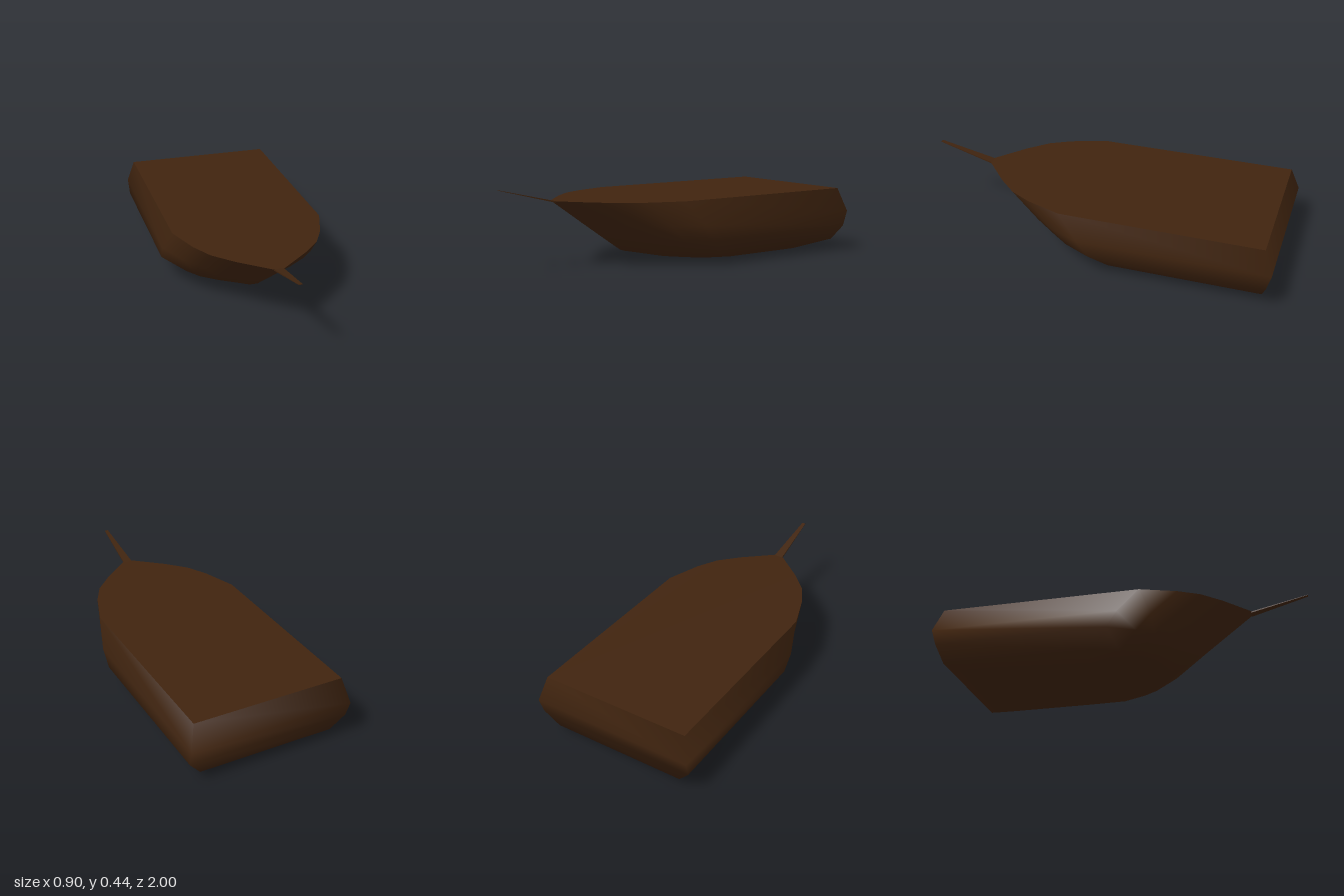
import * as THREE from 'three';

const wood = new THREE.MeshStandardMaterial({ color: 0x40240f });
wood.name = 'dark brown wood';

// Horizontal hull levels, keel to rail: height, half width, stern z, start of bow curve, bow tip z
const LEVELS = [
  [0, 0.24, -0.77, -0.3, 0.0],
  [0.058, 0.375, -0.95, -0.12, 0.265],
  [0.143, 0.445, -0.975, -0.03, 0.385],
  [0.228, 0.45, -1.0, 0.03, 0.505],
  [0.36, 0.415, -0.953, 0.14, 0.69],
];
// Bow curve: fraction of half width, fraction of bow length
const BOW = [[1, 0], [0.84, 0.35], [0.69, 0.56], [0.45, 0.75], [0.06, 1]];

// One closed outline, from the left stern corner round the bow to the right
function outline([y, w, stern, start, tip]) {
  const left = [[w, y, stern], ...BOW.map(([f, t]) => [f * w, y, start + t * (tip - start)])];
  const right = left.map(([x, py, z]) => [-x, py, z]).reverse();
  return [...left, ...right];
}

function meshFrom(points, index, name) {
  const geometry = new THREE.BufferGeometry();
  geometry.setAttribute('position', new THREE.Float32BufferAttribute(points.flat(), 3));
  geometry.setIndex(index);
  geometry.computeVertexNormals();
  const mesh = new THREE.Mesh(geometry, wood);
  mesh.name = name;
  return mesh;
}

function makeHull() {
  const rings = LEVELS.map(outline);
  const n = rings[0].length;
  const index = [];
  for (let k = 0; k < rings.length - 1; k++) {
    for (let i = 0; i < n; i++) {
      const a = k * n + i, b = k * n + (i + 1) % n;
      index.push(a, a + n, b + n, a, b + n, b);
    }
  }
  // Flat bottom, sharing the smooth edge of the sides
  for (let i = 1; i < n - 1; i++) index.push(0, i, i + 1);
  return meshFrom(rings.flat(), index, 'hull');
}

function makeDeck() {
  const ring = outline(LEVELS[LEVELS.length - 1]);
  const index = [];
  for (let i = 1; i < ring.length - 1; i++) index.push(0, i + 1, i);
  return meshFrom(ring, index, 'deck');
}

// Thin tapering spar rising from the bow tip
function makeBowsprit() {
  const geometry = new THREE.BoxGeometry(1, 1, 1);
  const p = geometry.attributes.position;
  for (let i = 0; i < p.count; i++) {
    const front = p.getZ(i) > 0;
    const width = front ? 0.02 : 0.05;
    const thick = front ? 0.002 : 0.008;
    p.setXYZ(i, p.getX(i) * width, (front ? 0.434 : 0.356) + p.getY(i) * thick, front ? 1 : 0.685);
  }
  geometry.computeVertexNormals();
  const mesh = new THREE.Mesh(geometry, wood);
  mesh.name = 'bowsprit';
  return mesh;
}

export function createModel() {
  const model = new THREE.Group();
  model.name = 'boat hull';
  model.add(makeHull(), makeDeck(), makeBowsprit());
  return model;
}
